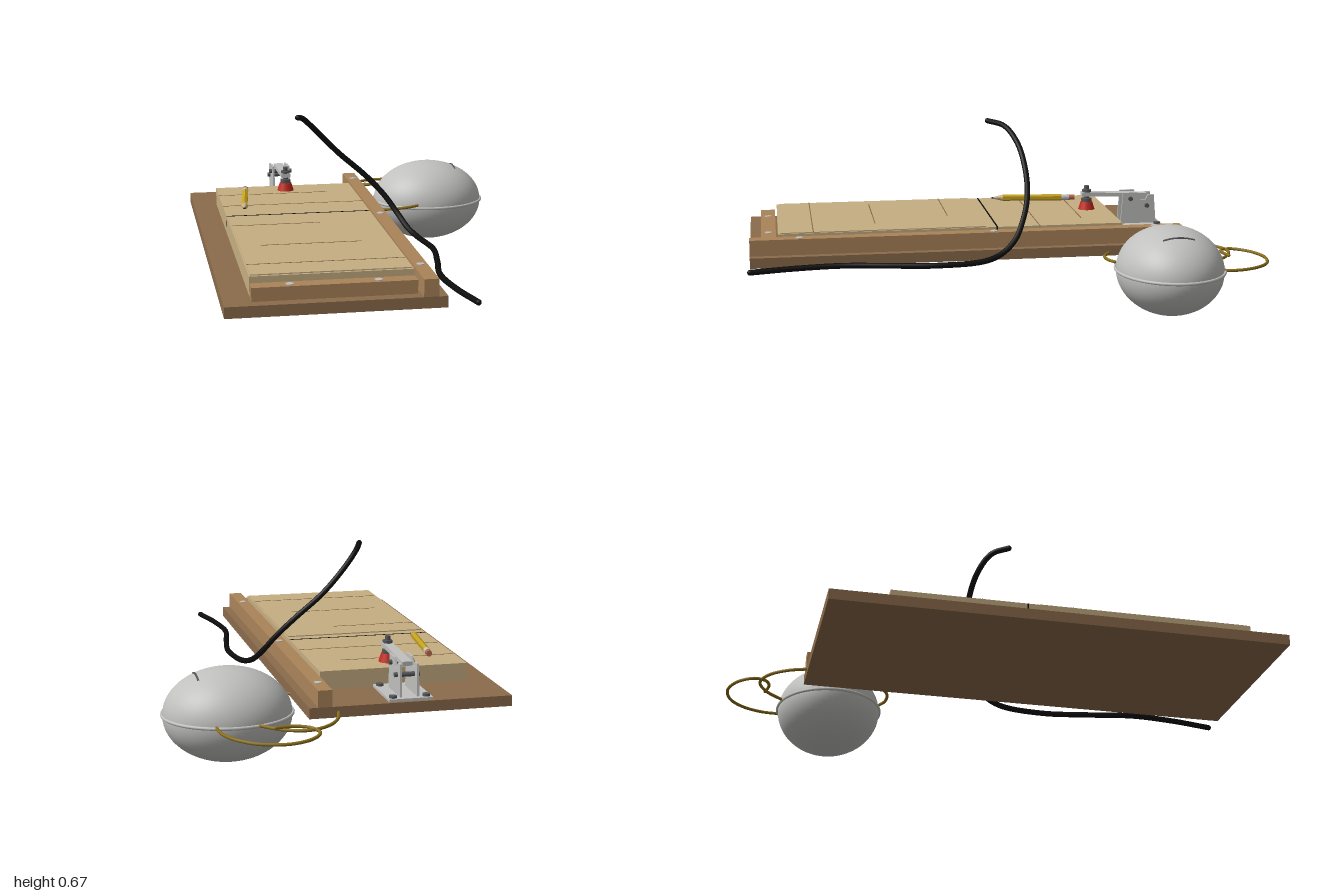
import * as THREE from 'three';

const mat = (name, color) => {
  const m = new THREE.MeshStandardMaterial({ color });
  m.name = name;
  return m;
};

export function createModel() {
  const root = new THREE.Group();
  root.name = 'clampBoard';
  const M = {
    board: mat('dark wood', 0x8b6b4b),
    rail: mat('light wood', 0xab845a),
    pad: mat('pad tan', 0xc6ae82),
    metal: mat('light metal', 0xc0c0be),
    steel: mat('dark steel', 0x55575a),
    black: mat('black rubber', 0x0c0c0c),
    red: mat('red rubber', 0xc42a20),
    yellow: mat('pencil yellow', 0xc2a020),
    cord: mat('olive cord', 0x8a6e1c),
    eraser: mat('eraser', 0xb5694a),
  };

  const add = (name, geo, material, x = 0, y = 0, z = 0, parent = root) => {
    const m = new THREE.Mesh(geo, material);
    m.name = name;
    m.position.set(x, y, z);
    parent.add(m);
    return m;
  };
  // box given by its limits on each axis
  const box = (name, material, x0, x1, y0, y1, z0, z1, parent) =>
    add(name, new THREE.BoxGeometry(x1 - x0, y1 - y0, z1 - z0), material,
      (x0 + x1) / 2, (y0 + y1) / 2, (z0 + z1) / 2, parent);
  // upright cylinder from y0 to y1
  const post = (name, material, rTop, rBot, x, y0, y1, z, sides = 20, parent = root) =>
    add(name, new THREE.CylinderGeometry(rTop, rBot, y1 - y0, sides), material, x, (y0 + y1) / 2, z, parent);
  // round cable through points, with rounded ends
  const cable = (name, material, r, pts, segs) => {
    const g = new THREE.Group();
    g.name = name;
    root.add(g);
    const v = pts.map((p) => new THREE.Vector3(...p));
    add(name + 'Tube', new THREE.TubeGeometry(new THREE.CatmullRomCurve3(v), segs, r, 10), material, 0, 0, 0, g);
    for (const p of [v[0], v[v.length - 1]])
      add(name + 'End', new THREE.SphereGeometry(r, 10, 8), material, p.x, p.y, p.z, g);
  };

  // wooden base, side rail and front stop
  box('baseBoard', M.board, -0.635, 0.12, 0.166, 0.206, -0.71, 0.99);
  box('sideRail', M.rail, 0.036, 0.088, 0.206, 0.268, -0.71, 0.99);
  box('frontStop', M.rail, -0.54, 0.025, 0.206, 0.254, 0.888, 0.945);
  for (const z of [-0.6, 0.045, 0.8]) post('railScrew', M.metal, 0.014, 0.014, 0.063, 0.264, 0.27, z);
  for (const x of [-0.408, -0.105]) post('stopScrew', M.metal, 0.014, 0.014, x, 0.25, 0.256, 0.917);

  // work pad in two sections with a dark joint and faint marking lines
  box('padRear', M.pad, -0.54, 0.025, 0.206, 0.275, -0.48, 0.022);
  box('padFront', M.pad, -0.54, 0.025, 0.206, 0.275, 0.028, 0.88);
  box('padJoint', M.black, -0.54, 0.025, 0.206, 0.276, 0.022, 0.028);
  box('padSheet', M.pad, -0.535, 0.02, 0.275, 0.279, 0.07, 0.87);
  for (const [x0, x1, z, y] of [[-0.54, -0.09, -0.335, 0.275], [-0.54, 0.025, -0.145, 0.275],
    [-0.535, -0.2, 0.197, 0.279], [-0.46, -0.09, 0.498, 0.279], [-0.535, 0.02, 0.745, 0.279]])
    box('padLine', M.board, x0, x1, y, y + 0.001, z - 0.002, z + 0.002);

  // egg-shaped shell with a seam, a top slot and a small cap
  const egg = new THREE.Group();
  egg.name = 'shell';
  egg.position.set(0.388, 0.169, -0.58);
  root.add(egg);
  add('shellBody', new THREE.SphereGeometry(1, 56, 36), M.metal, 0, 0, 0, egg).scale.set(0.233, 0.169, 0.203);
  const seam = add('shellSeam', new THREE.TorusGeometry(1, 0.024, 10, 72).rotateX(Math.PI / 2), M.metal, 0, 0.004, 0, egg);
  seam.scale.set(0.235, 0.25, 0.206);
  const slotArc = new THREE.CatmullRomCurve3([-0.06, -0.03, 0, 0.03, 0.06].map((z) =>
    new THREE.Vector3(0.112, 0.169 * Math.sqrt(1 - (0.112 / 0.233) ** 2 - (z / 0.203) ** 2), z)));
  add('shellSlot', new THREE.TubeGeometry(slotArc, 16, 0.004, 6), M.steel, 0, 0, 0, egg);

  // thin cords around the shell
  cable('frontCord', M.cord, 0.006, [[0.1, 0.176, -0.42], [0.13, 0.176, -0.395], [0.17, 0.178, -0.376],
    [0.22, 0.181, -0.369], [0.27, 0.185, -0.372], [0.305, 0.187, -0.385]], 40);
  cable('innerCord', M.cord, 0.006, [[0.01, 0.185, -0.7], [0.035, 0.182, -0.78], [0.085, 0.18, -0.845],
    [0.16, 0.178, -0.876], [0.24, 0.176, -0.845], [0.32, 0.175, -0.765]], 60);
  cable('outerCord', M.cord, 0.006, [[0.462, 0.176, -0.765], [0.455, 0.175, -0.84], [0.42, 0.174, -0.915],
    [0.35, 0.172, -0.974], [0.25, 0.172, -0.994], [0.165, 0.174, -0.96], [0.127, 0.177, -0.9],
    [0.15, 0.181, -0.855], [0.2, 0.184, -0.838], [0.27, 0.186, -0.847]], 110);

  // black cable, rising at the middle and lying flat towards the front
  cable('blackCable', M.black, 0.011, [[-0.257, 0.655, 0.022], [-0.228, 0.638, -0.04], [-0.17, 0.58, -0.084],
    [-0.08, 0.487, -0.103], [0.03, 0.39, -0.093], [0.1, 0.315, -0.064], [0.145, 0.25, -0.027],
    [0.175, 0.203, 0.03], [0.2, 0.182, 0.1], [0.225, 0.178, 0.28], [0.203, 0.178, 0.45],
    [0.172, 0.178, 0.64], [0.188, 0.178, 0.82], [0.224, 0.178, 0.989]], 160);

  // pencil lying on the pad, built along +z with the tip in front
  const pencil = new THREE.Group();
  pencil.name = 'pencil';
  pencil.position.set(-0.427, 0.291, -0.375);
  pencil.rotation.y = Math.atan2(-0.039, 0.355);
  root.add(pencil);
  const rod = (name, material, rFront, rBack, z0, z1, sides) => {
    const g = new THREE.CylinderGeometry(rFront, rBack, z1 - z0, sides).rotateX(Math.PI / 2).toNonIndexed();
    g.computeVertexNormals();
    add(name, g, material, 0, 0, (z0 + z1) / 2, pencil);
  };
  rod('pencilEraser', M.eraser, 0.0115, 0.0115, 0, 0.024, 16);
  rod('pencilFerrule', M.metal, 0.0125, 0.0125, 0.024, 0.055, 16);
  rod('pencilBody', M.yellow, 0.0135, 0.0135, 0.055, 0.305, 6);
  rod('pencilCone', M.pad, 0.004, 0.0135, 0.305, 0.345, 12);
  rod('pencilLead', M.black, 0.0005, 0.004, 0.345, 0.357, 12);

  // toggle clamp
  const clamp = new THREE.Group();
  clamp.name = 'toggleClamp';
  root.add(clamp);
  const cx = -0.257;
  box('clampPlate', M.metal, cx - 0.082, cx + 0.082, 0.206, 0.216, -0.7, -0.485, clamp);
  for (const dx of [-0.062, 0.062])
    for (const z of [-0.678, -0.508]) post('clampScrew', M.steel, 0.014, 0.014, cx + dx, 0.216, 0.225, z, 12, clamp);
  // side cheeks with a sloped front edge
  const cheek = new THREE.Shape([[-0.68, 0.216], [-0.53, 0.216], [-0.54, 0.345], [-0.6, 0.345], [-0.615, 0.315],
    [-0.635, 0.315], [-0.645, 0.335], [-0.67, 0.335]].map(([z, y]) => new THREE.Vector2(-z, y)));
  const cheekGeo = new THREE.ExtrudeGeometry(cheek, { depth: 0.008, bevelEnabled: false }).rotateY(Math.PI / 2);
  for (const dx of [-0.036, 0.028]) add('clampCheek', cheekGeo, M.metal, cx + dx, 0, 0, clamp);
  for (const [z, y] of [[-0.64, 0.29], [-0.57, 0.32]]) {
    add('clampPin', new THREE.CylinderGeometry(0.009, 0.009, 0.094, 16).rotateZ(Math.PI / 2), M.steel, cx, y, z, clamp);
  }
  // holding arm with spindle and red foot
  const arm = box('clampArm', M.metal, cx - 0.019, cx + 0.019, 0.327, 0.343, -0.645, -0.37, clamp);
  arm.rotation.x = -0.04;
  post('spindle', M.steel, 0.01, 0.01, cx, 0.29, 0.374, -0.392, 16, clamp);
  post('upperNut', M.steel, 0.019, 0.019, cx, 0.345, 0.358, -0.392, 6, clamp);
  post('lowerNut', M.steel, 0.022, 0.022, cx, 0.308, 0.322, -0.392, 6, clamp);
  post('clampFoot', M.red, 0.024, 0.034, cx, 0.276, 0.308, -0.392, 24, clamp);

  return root;
}
